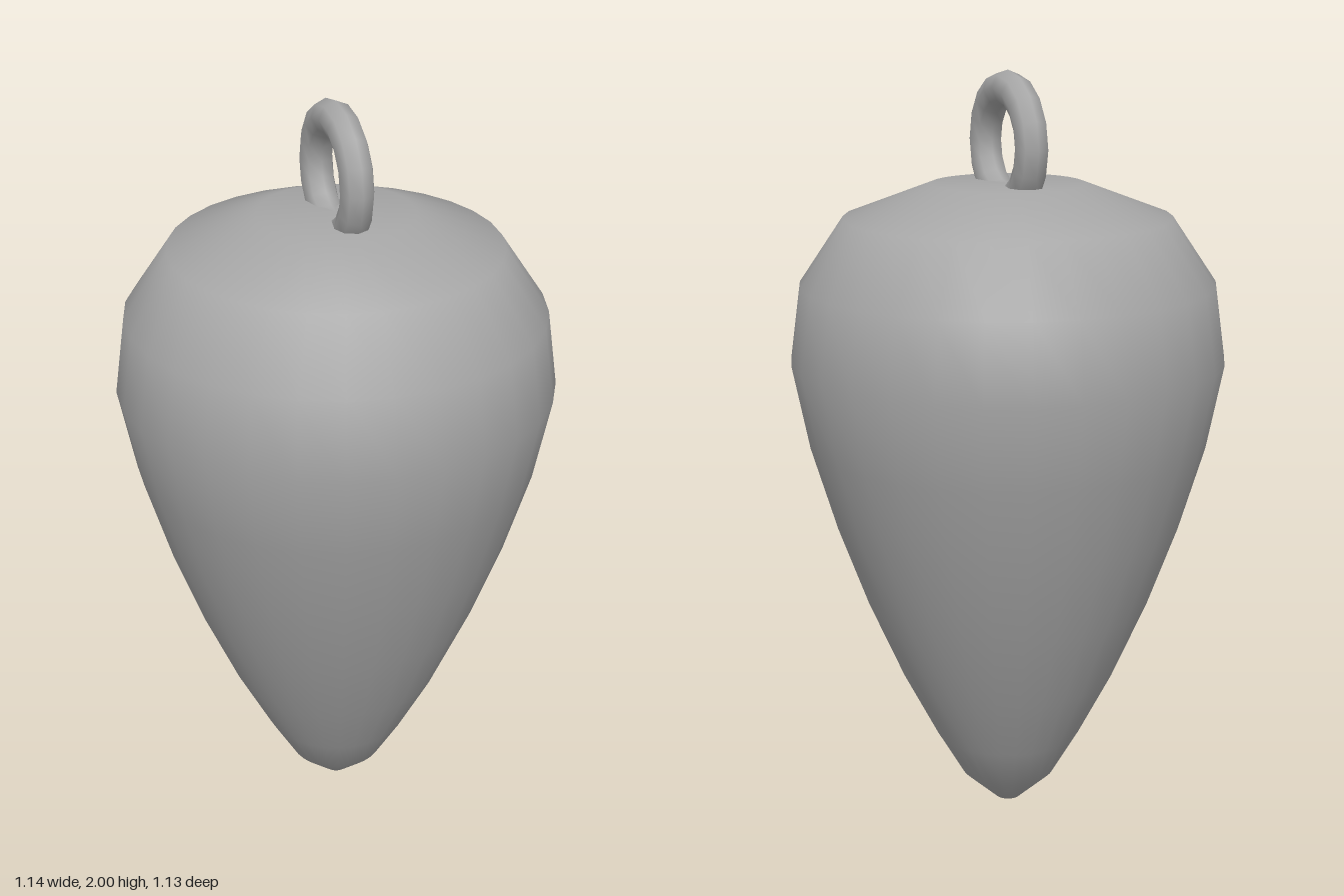
import * as THREE from 'three';

export function createModel() {
  const model = new THREE.Group();
  const metal = new THREE.MeshStandardMaterial({ color: 0xa6a6a6 });
  metal.name = 'grey metal';

  // Teardrop weight, turned from a profile of [radius, height]
  const profile = [
    [0, 0], [0.034, 0.005], [0.127, 0.09], [0.197, 0.21], [0.287, 0.385],
    [0.38, 0.6], [0.458, 0.815], [0.525, 1.04], [0.568, 1.26],
    [0.54, 1.46], [0.425, 1.63], [0.2, 1.715], [0, 1.715],
  ].map(([r, y]) => new THREE.Vector2(r, y));
  const body = new THREE.Mesh(new THREE.LatheGeometry(profile, 30, Math.PI / 2), metal);
  body.name = 'weight';
  model.add(body);

  // Hanging ring, standing in the y-z plane and sunk into the top
  const ring = new THREE.Mesh(new THREE.TorusGeometry(0.143, 0.044, 8, 16), metal);
  ring.name = 'hangingRing';
  ring.rotation.y = Math.PI / 2;
  ring.position.y = 1.813;
  model.add(ring);

  return model;
}
